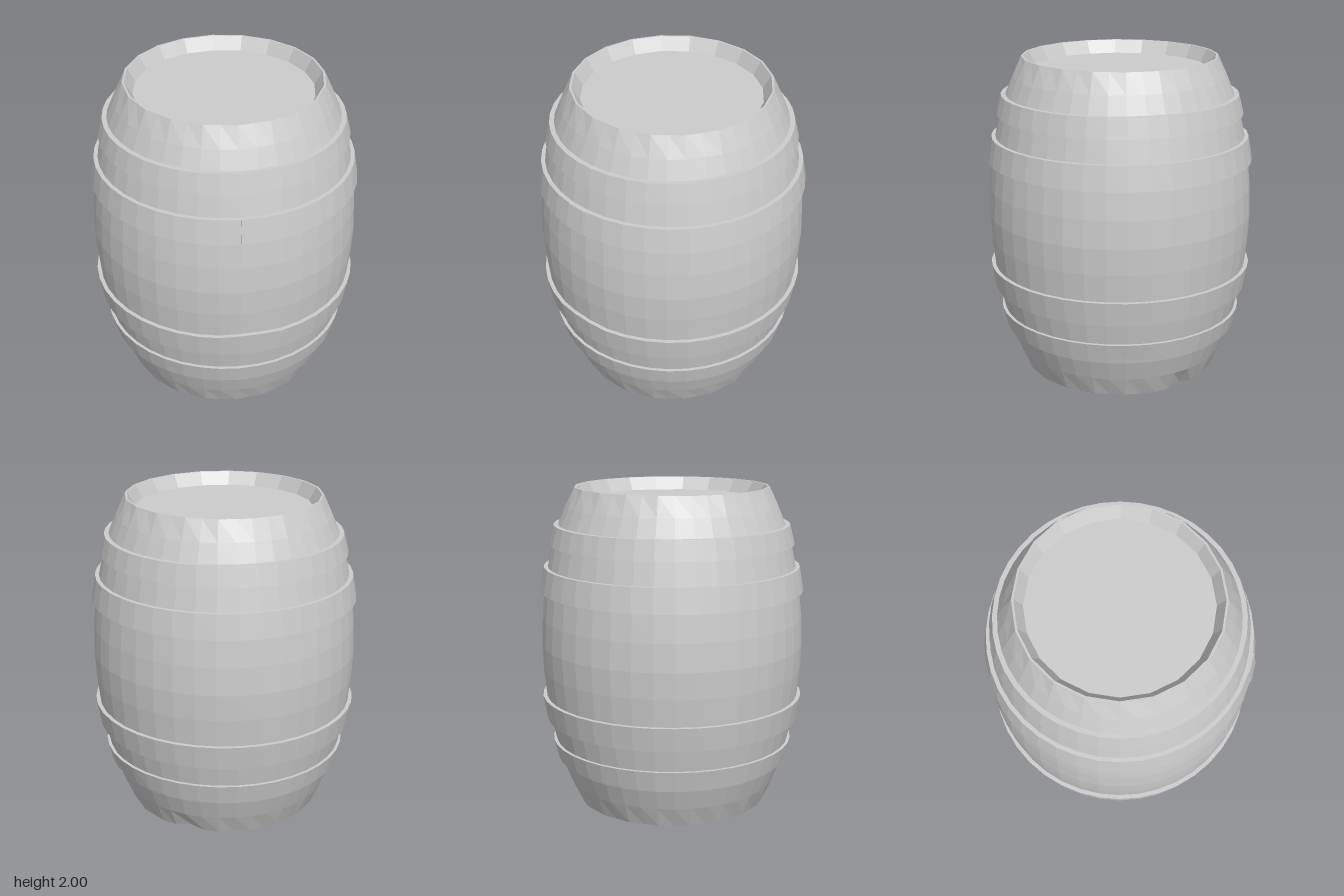
import * as THREE from 'three';

const SEGMENTS = 40;

// Revolve a profile of [radius, height] pairs, then adjust each vertex by a rule
function revolve(name, profile, material, rule) {
  const points = profile.map(([r, y]) => new THREE.Vector2(r, y));
  const geometry = new THREE.LatheGeometry(points, SEGMENTS);
  const pos = geometry.attributes.position;
  for (let i = 0; i < pos.count; i++) {
    const segment = Math.floor(i / profile.length) % SEGMENTS;
    const v = new THREE.Vector3().fromBufferAttribute(pos, i);
    if (rule) rule(v, segment, i % profile.length);
    pos.setXYZ(i, v.x, v.y, v.z);
  }
  const flat = geometry.toNonIndexed();
  flat.computeVertexNormals();
  const mesh = new THREE.Mesh(flat, material);
  mesh.name = name;
  return mesh;
}

export function createModel() {
  const barrel = new THREE.Group();
  barrel.name = 'barrel';
  const material = new THREE.MeshStandardMaterial({ color: 0xcccccc, flatShading: true });

  // Bulging body, closed at the bottom, with a recessed lid at the top
  const bodyProfile = [
    [0, 0], [0.605, 0], [0.66, 0.13], [0.71, 0.26], [0.745, 0.4], [0.775, 0.54],
    [0.8, 0.69], [0.817, 0.86], [0.824, 1.02], [0.817, 1.19], [0.8, 1.36],
    [0.775, 1.51], [0.745, 1.65], [0.706, 1.77], [0.66, 1.88], [0.605, 2],
    [0.592, 2], [0.545, 1.92], [0, 1.92],
  ];
  const chord = Math.cos(Math.PI / 20);
  barrel.add(revolve('body', bodyProfile, material, (v, segment, row) => {
    // The two rims are coarser: every other vertex lies on the chord
    if ((row === 1 || row >= 15) && segment % 2) {
      v.x *= chord;
      v.z *= chord;
    }
    // Small chip in the bottom rim at the back
    if (row === 1 && segment === 20) {
      v.z += 0.02;
      v.y += 0.02;
    }
  }));

  // Four tapered hoops: bottom height, top height, outer radius at each
  const hoops = [
    ['bottomHoop', 0.28, 0.4, 0.735, 0.765],
    ['lowerHoop', 0.54, 0.69, 0.8, 0.825],
    ['upperHoop', 1.36, 1.51, 0.825, 0.8],
    ['topHoop', 1.65, 1.77, 0.765, 0.735],
  ];
  for (const [name, y0, y1, r0, r1] of hoops) {
    const profile = [[r0 - 0.05, y0], [r0, y0], [r1, y1], [r1 - 0.05, y1], [r0 - 0.05, y0]];
    barrel.add(revolve(name, profile, material, (v, segment, row) => {
      // Dents in the edges of the two lower hoops
      const angle = segment * 360 / SEGMENTS;
      if (name === 'bottomHoop' && (row < 2 || row === 4)) {
        v.y += 0.022 * Math.max(0, 1 - Math.abs(angle - 147) / 16);
      }
      if (name === 'lowerHoop' && (row === 2 || row === 3)) {
        v.y += 0.014 * Math.max(0, 1 - Math.abs(angle - 22) / 14);
      }
    }));
  }

  // Overlapping joint plate on the upper hoop
  const joint = new THREE.Group();
  joint.name = 'hoopJoint';
  joint.rotation.y = THREE.MathUtils.degToRad(22.2);
  const plate = new THREE.Mesh(new THREE.BoxGeometry(0.125, 0.15, 0.03), material);
  plate.name = 'jointPlate';
  plate.position.set(0, 1.435, 0.802);
  plate.rotation.x = -0.165;
  joint.add(plate);
  barrel.add(joint);

  return barrel;
}
